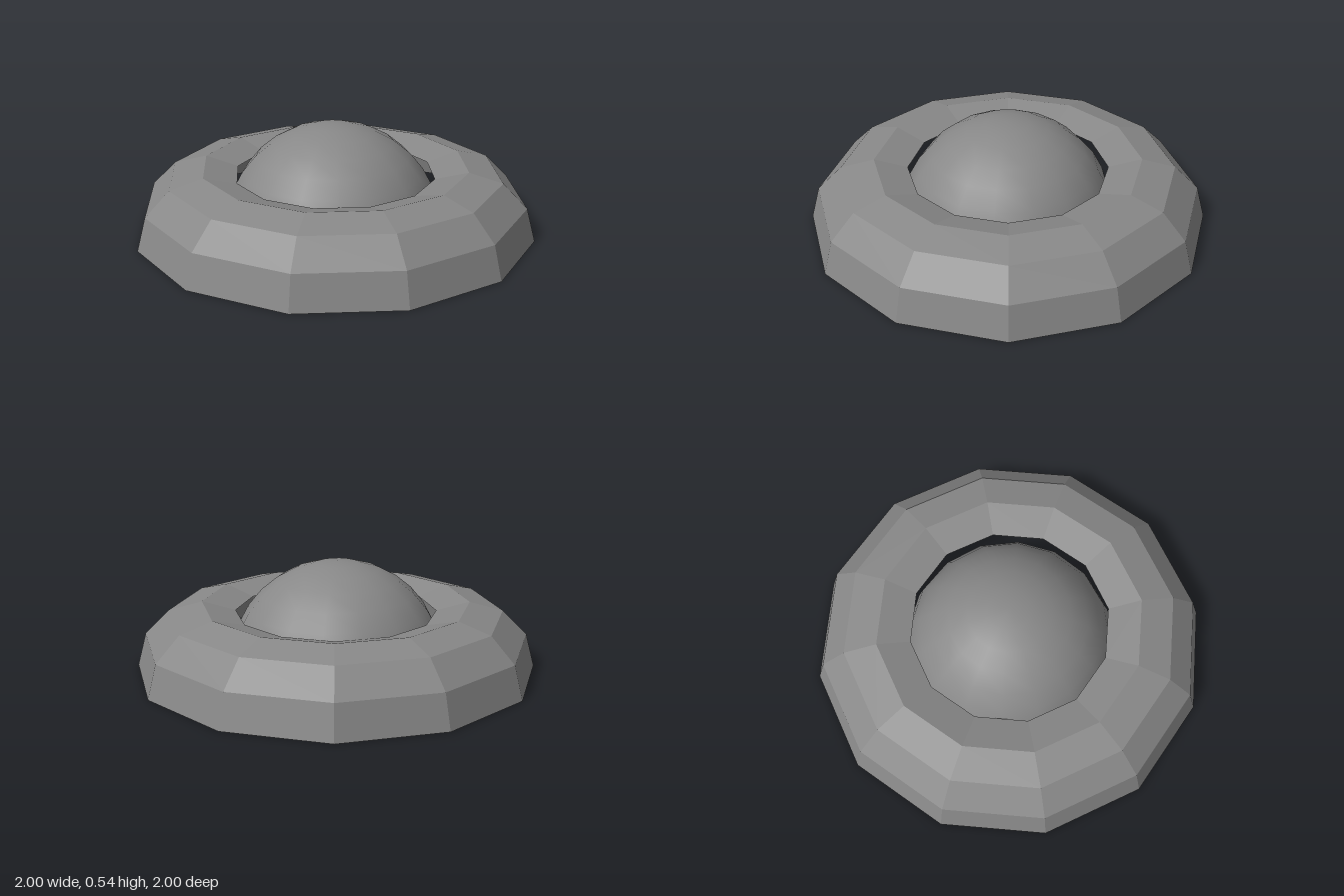
import * as THREE from 'three';

export function createModel() {
  const model = new THREE.Group();
  const grey = 0x888888;

  // Faceted open ring: part of a 12-sided tube, swept in 12 steps
  const tube = 1 / 3, centre = 2 / 3;
  const profile = [];
  for (let i = 0; i <= 4; i++) {
    const a = (i * Math.PI) / 6;
    profile.push(new THREE.Vector2(centre + tube * Math.cos(a), tube * Math.sin(a)));
  }
  const ring = new THREE.Mesh(
    new THREE.LatheGeometry(profile, 12),
    new THREE.MeshStandardMaterial({ color: grey, flatShading: true, side: THREE.DoubleSide })
  );
  ring.name = 'outerRing';
  model.add(ring);

  // Smooth dome, open underneath, a touch off centre
  const dome = new THREE.Mesh(
    new THREE.SphereGeometry(0.542, 16, 8, 0, Math.PI * 2, 0, Math.PI / 2),
    new THREE.MeshStandardMaterial({ color: grey, side: THREE.DoubleSide })
  );
  dome.name = 'dome';
  dome.position.set(-0.006, 0, 0.006);
  model.add(dome);

  return model;
}
